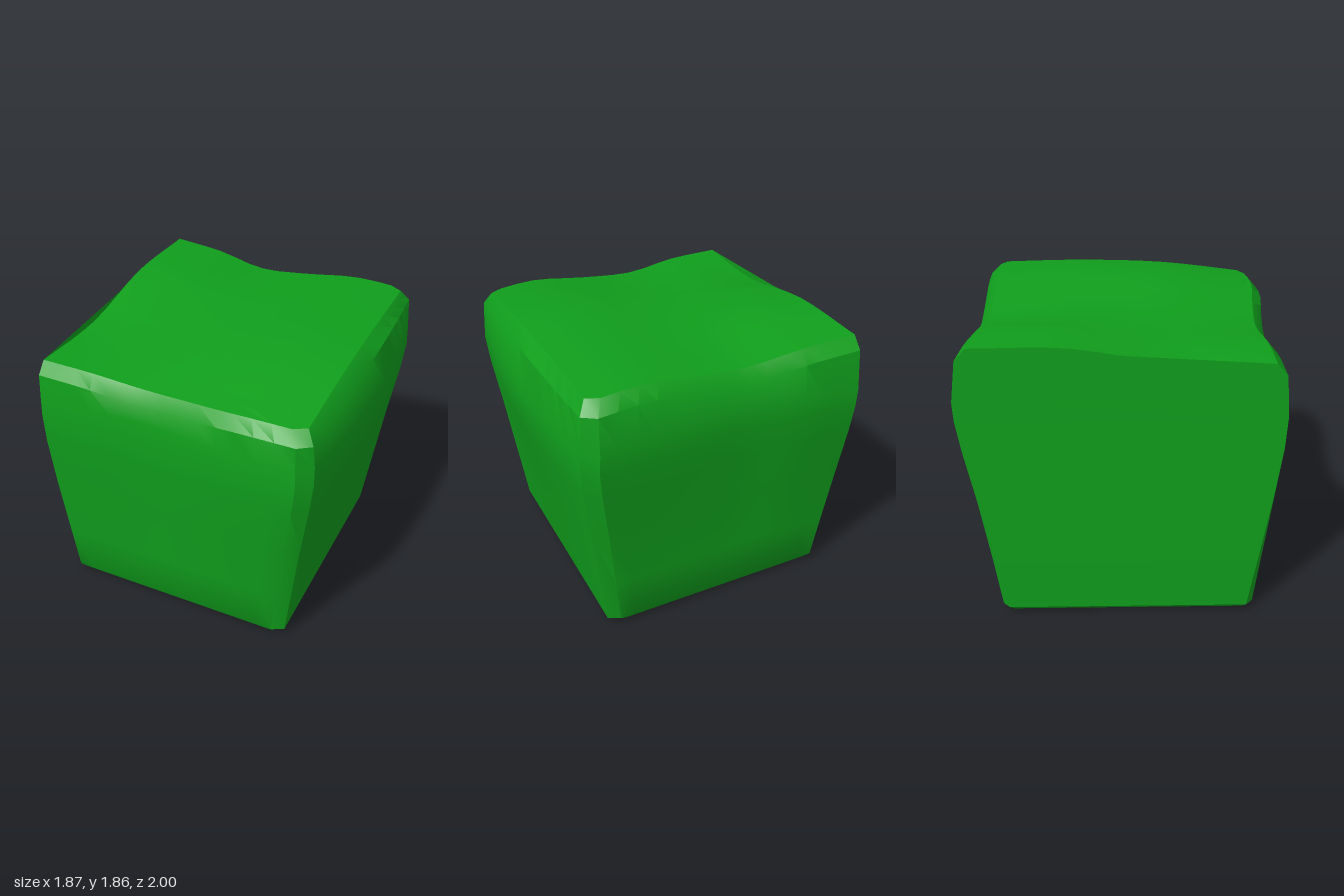
import * as THREE from 'three';
import { toCreasedNormals } from 'three/addons/utils/BufferGeometryUtils.js';

const LEFT = -0.94;

// Smooth curve through evenly spaced values
function spline(values, t) {
  const n = values.length - 1;
  const c = Math.min(Math.max(t, 0), n);
  const i = Math.min(Math.floor(c), n - 1);
  const f = c - i;
  const p1 = values[i], p2 = values[i + 1];
  const p0 = i > 0 ? values[i - 1] : 2 * p1 - p2;
  const p3 = i + 2 <= n ? values[i + 2] : 2 * p2 - p1;
  return p1 + 0.5 * f * (p2 - p0 + f * (2 * p0 - 5 * p1 + 4 * p2 - p3 + f * (3 * (p1 - p2) + p3 - p0)));
}
const knotX = (x) => (x - LEFT) / 0.35;

// Waviness of the front and back faces along x
const frontWave = (x) => spline([-0.05, -0.05, -0.07, -0.04, 0, -0.02], knotX(x));
const backWave = (x) => spline([0, -0.02, -0.055, -0.05, -0.04, -0.03], knotX(x));

// Heights of the uneven top: one row per x knot, running back to front
const heights = [
  [1.855, 1.85, 1.74, 1.75],
  [1.83, 1.835, 1.77, 1.74],
  [1.775, 1.79, 1.765, 1.70],
  [1.80, 1.81, 1.80, 1.72],
  [1.84, 1.85, 1.84, 1.755],
  [1.82, 1.83, 1.81, 1.74],
];
const topHeight = (x, z) => spline(heights.map((row) => spline(row, (z + 0.9) / 0.6)), knotX(x));

// Outline of one layer: back, right side and front, with bevelled corners
function outline({ front, back, right, left = LEFT, wave, corner, nick = 0 }) {
  const pts = [];
  const cx = 0.08 + 0.08 * corner, cz = 0.04 + 0.04 * corner;
  const end = right - cx;
  const backZ = (x) => -(back + wave * backWave(x));
  const frontZ = (x) => front + wave * frontWave(x);
  const steps = 14;
  pts.push([left, backZ(left) + nick]);
  for (let i = 0; i <= steps; i++) {
    const x = THREE.MathUtils.lerp(left + nick, end, i / steps);
    pts.push([x, backZ(x)]);
  }
  const z0 = backZ(end) + cz, z1 = frontZ(end) - cz;
  for (let i = 0; i <= 12; i++) {
    const z = THREE.MathUtils.lerp(z0, z1, i / 12);
    pts.push([right - 0.08 * corner * (z / 0.92) ** 2, z]);
  }
  for (let i = steps; i >= 0; i--) {
    const x = THREE.MathUtils.lerp(left + nick, end, i / steps);
    pts.push([x, frontZ(x)]);
  }
  pts.push([left, frontZ(left) - nick]);
  return pts;
}

function buildBody() {
  const layers = [];
  const flat = (y, front, back, right, corner, nick, left) =>
    outline({ front, back, right, left, wave: Math.min(1, y / 1.4), corner, nick }).map(([x, z]) => [x, y, z]);

  // Underside and flaring walls
  const base = flat(0, 0.79, 0.75, 0.62, 0, 0.03, -0.89);
  layers.push(base.map(() => [-0.89, 0, 0]), base);
  layers.push(flat(0.05, 0.83, 0.79, 0.67, 0, 0.045));
  layers.push(flat(0.4, 0.875, 0.835, 0.735, 0.25, 0.025));
  layers.push(flat(0.85, 0.935, 0.9, 0.82, 0.55, 0.004));
  layers.push(flat(1.2, 0.985, 0.965, 0.9, 0.85, 0));
  layers.push(flat(1.4, 1, 0.995, 0.935, 1, 0));
  layers.push(flat(1.52, 0.99, 1, 0.93, 1, 0));

  // Rounded shoulder following the uneven top
  const onTop = (pts, drop, s = 1) => pts.map(([px, pz]) => {
    const x = LEFT + (px - LEFT) * s, z = pz * s;
    return [x, topHeight(x, z) - drop, z];
  });
  layers.push(onTop(outline({ front: 0.975, back: 0.965, right: 0.88, wave: 1, corner: 0.5 }), 0.075));
  const rim = outline({ front: 0.91, back: 0.895, right: 0.8, wave: 1, corner: 0.1 });

  // Top surface, closing inwards
  for (const s of [1, 0.9, 0.78, 0.65, 0.5, 0.35, 0.18, 0]) layers.push(onTop(rim, 0, s));

  const n = base.length, index = [];
  for (let j = 0; j < layers.length - 1; j++) {
    for (let i = 0; i < n; i++) {
      const k = (i + 1) % n;
      const a = j * n + i, b = j * n + k, c = b + n, d = a + n;
      index.push(a, d, c, a, c, b);
    }
  }
  const geometry = new THREE.BufferGeometry();
  geometry.setAttribute('position', new THREE.Float32BufferAttribute(layers.flat(2), 3));
  geometry.setIndex(index);
  return toCreasedNormals(geometry, 0.6);
}

export function createModel() {
  const model = new THREE.Group();
  model.name = 'softBlock';
  const body = new THREE.Mesh(buildBody(), new THREE.MeshStandardMaterial({ color: 0x109e1c }));
  body.name = 'body';
  model.add(body);
  return model;
}
